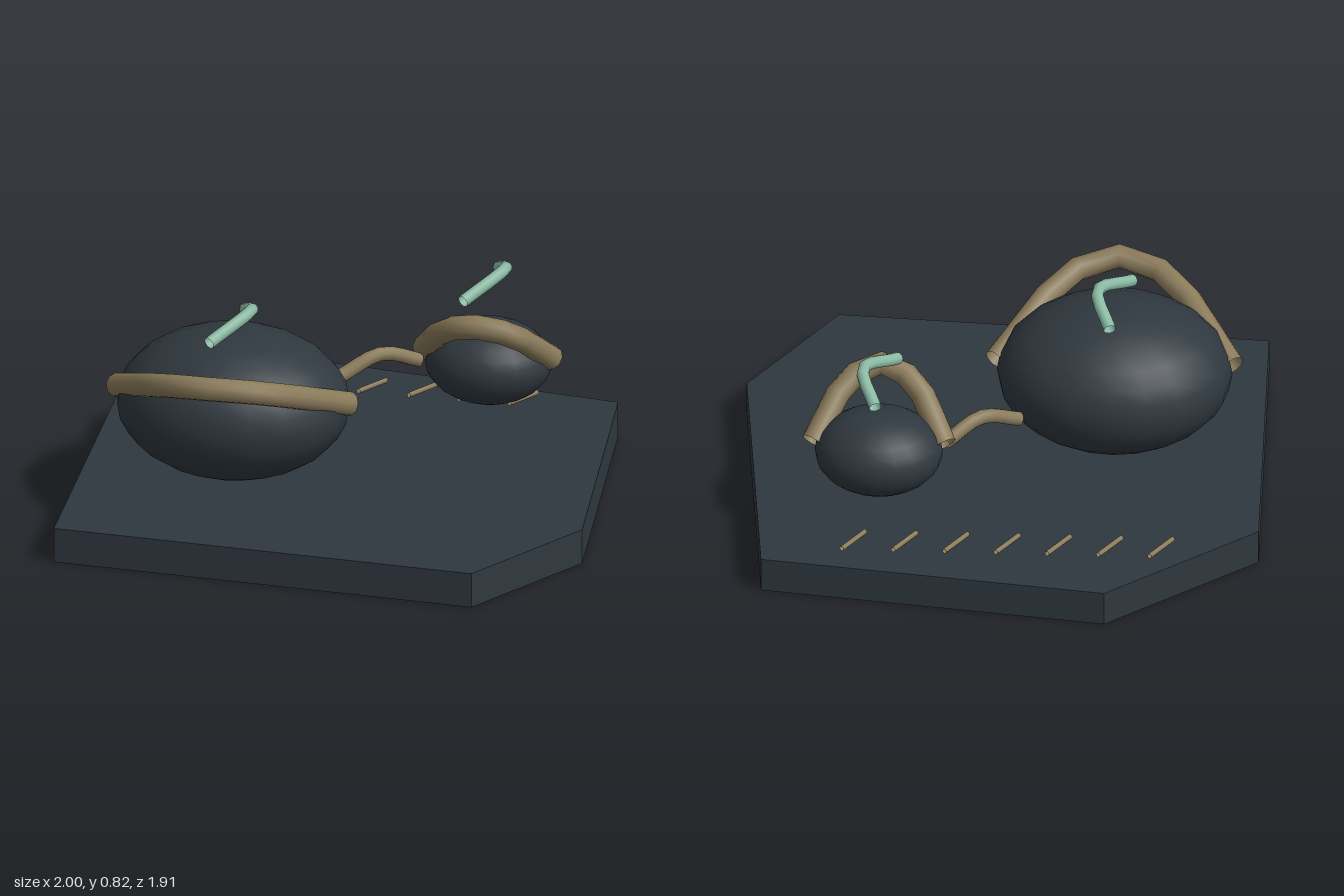
import * as THREE from 'three';

function material(name, color) {
  const m = new THREE.MeshStandardMaterial({ color, side: THREE.DoubleSide });
  m.name = name;
  return m;
}

export function createModel() {
  const group = new THREE.Group();
  const slate = material('slate', 0x2f383f);
  const bronze = material('bronze', 0x8a7a5a);
  const mint = material('mint', 0x8abaa4);

  function add(name, geometry, mat) {
    const mesh = new THREE.Mesh(geometry, mat);
    mesh.name = name;
    group.add(mesh);
    return mesh;
  }

  // Round rod along a smooth curve through a few points
  function rod(name, points, radius, segments, mat) {
    const curve = new THREE.CatmullRomCurve3(points.map((p) => new THREE.Vector3(...p)));
    return add(name, new THREE.TubeGeometry(curve, segments, radius, 10, false), mat);
  }

  // Irregular six-sided base slab, outline given as x, z
  const outline = [[-1, -0.5], [-0.98, 0.84], [0.67, 0.95], [1, 0.45], [0.89, -0.78], [-0.43, -0.96]];
  const shape = new THREE.Shape(outline.map(([x, z]) => new THREE.Vector2(x, -z)));
  const slab = new THREE.ExtrudeGeometry(shape, { depth: 0.14, bevelEnabled: false });
  slab.rotateX(-Math.PI / 2);
  add('baseSlab', slab, slate);

  // Two smooth pebbles
  function pebble(name, center, radii) {
    const geometry = new THREE.SphereGeometry(1, 20, 14);
    geometry.scale(...radii);
    add(name, geometry, slate).position.set(...center);
  }
  pebble('largePebble', [-0.42, 0.43, 0.155], [0.45, 0.29, 0.385]);
  pebble('smallPebble', [0.455, 0.425, -0.432], [0.245, 0.163, 0.212]);

  // Slanted bands wrapped over the front of each pebble
  rod('largeBand', [
    [-0.87, 0.46, 0.165], [-0.61, 0.63, 0.52], [-0.42, 0.665, 0.6],
    [-0.23, 0.63, 0.52], [0.035, 0.46, 0.165],
  ], 0.047, 8, bronze);
  rod('smallBand', [
    [0.205, 0.455, -0.43], [0.33, 0.62, -0.245], [0.455, 0.665, -0.19],
    [0.58, 0.62, -0.245], [0.705, 0.455, -0.43],
  ], 0.047, 8, bronze);

  // Arched link between the pebbles
  rod('link', [[-0.07, 0.42, -0.18], [0.07, 0.485, -0.275], [0.2, 0.43, -0.37]], 0.028, 8, bronze);

  // Curved rods hovering above each pebble
  for (const [name, x, z] of [['largeArc', 0, 0], ['smallArc', 0.87, -0.587]]) {
    rod(name, [
      [-0.48 + x, 0.735, 0.325 + z], [-0.355 + x, 0.8, 0.14 + z], [-0.41 + x, 0.735, -0.025 + z],
    ], 0.024, 8, mint);
  }

  // Row of slanted tally marks along the back
  for (let i = 0; i < 7; i++) {
    const x = -0.635 + i * 0.196;
    rod('tallyMark' + (i + 1), [[x - 0.042, 0.172, -0.615], [x + 0.042, 0.172, -0.74]], 0.01, 1, bronze);
  }

  return group;
}
